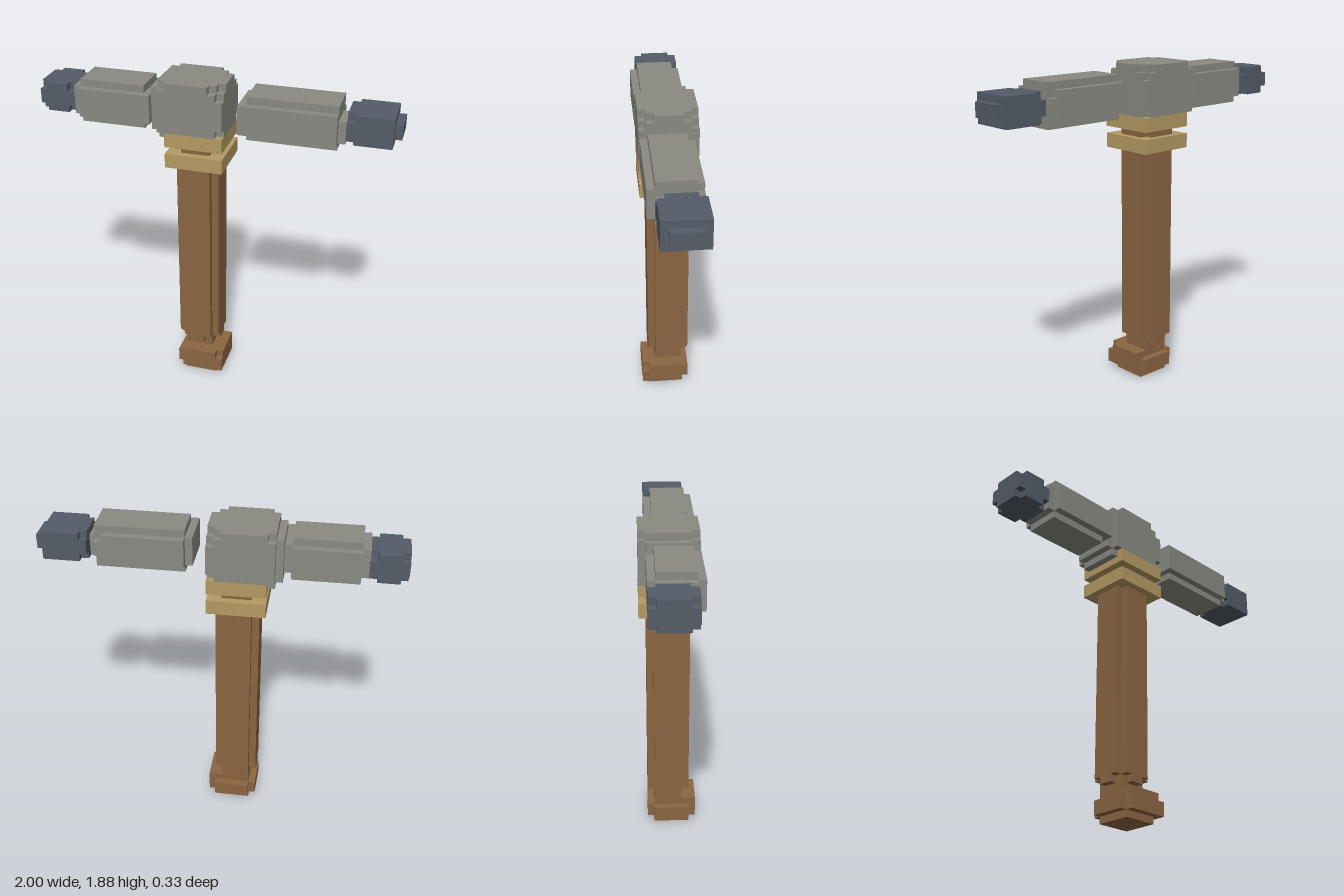
import * as THREE from 'three';
import { mergeVertices } from 'three/addons/utils/BufferGeometryUtils.js';

const U = 2 / 49; // cube size; grid is 49 x 46 x 8

// Surface of the cubes filled by boxes [x0,x1,y0,y1,z0,z1], minus cut boxes
function blockGeometry(add, cut = []) {
  const cells = new Map();
  const each = ([x0, x1, y0, y1, z0, z1], fn) => {
    for (let x = x0; x < x1; x++)
      for (let y = y0; y < y1; y++)
        for (let z = z0; z < z1; z++) fn([x, y, z]);
  };
  add.forEach(b => each(b, c => cells.set(c.join(), c)));
  cut.forEach(b => each(b, c => cells.delete(c.join())));
  const pos = [], nor = [], index = [];
  for (const c of cells.values()) {
    for (let a = 0; a < 3; a++) {
      for (const s of [-1, 1]) {
        const next = [...c];
        next[a] += s;
        if (cells.has(next.join())) continue;
        const b = (a + 1) % 3, d = (a + 2) % 3, n = pos.length / 3;
        for (const [p, q] of [[0, 0], [1, 0], [1, 1], [0, 1]]) {
          const v = [...c];
          v[a] += s > 0 ? 1 : 0;
          v[b] += p;
          v[d] += q;
          pos.push(v[0] * U - 1, v[1] * U, (v[2] - 4) * U);
          const normal = [0, 0, 0];
          normal[a] = s;
          nor.push(...normal);
        }
        index.push(...(s > 0 ? [n, n + 1, n + 2, n, n + 2, n + 3] : [n, n + 2, n + 1, n, n + 3, n + 2]));
      }
    }
  }
  const g = new THREE.BufferGeometry();
  g.setAttribute('position', new THREE.Float32BufferAttribute(pos, 3));
  g.setAttribute('normal', new THREE.Float32BufferAttribute(nor, 3));
  g.setIndex(index);
  return mergeVertices(g);
}

// Single-cube cuts at every combination of the given coordinates
function cubes(xs, ys, zs) {
  return xs.flatMap(x => ys.flatMap(y => zs.map(z => [x, x + 1, y, y + 1, z, z + 1])));
}

export function createModel() {
  const material = (name, color) => {
    const m = new THREE.MeshStandardMaterial({ color });
    m.name = name;
    return m;
  };
  const stone = material('grey stone', 0x8a8a83);
  const steel = material('dark steel', 0x545c68);
  const wood = material('brown wood', 0x8b6541);
  const gold = material('dull gold', 0xb49a63);

  const group = new THREE.Group();
  group.name = 'hammer';
  const part = (name, mat, add, cut) => {
    const mesh = new THREE.Mesh(blockGeometry(add, cut), mat);
    mesh.name = name;
    group.add(mesh);
  };

  // Pommel and its neck
  part('pommel', wood, [
    [20, 25, 0, 1, 2, 7],
    [20, 26, 1, 4, 2, 8],
    [19, 20, 1, 3, 2, 7],
    [20, 25, 1, 3, 1, 2],
  ], cubes([25], [3], [7]));

  // Long shaft with a cross-shaped section, notched at its foot
  part('shaft', wood, [
    [20, 24, 4, 5, 2, 6],
    [19, 25, 5, 37, 2, 6],
    [20, 24, 5, 37, 1, 7],
  ], [...cubes([19, 24], [5], [2, 5]), ...cubes([20, 23], [5], [1, 6])]);

  // Two square collars
  part('lowerCollar', gold, [[18, 26, 34, 36, 0, 8]]);
  part('upperCollar', gold, [[18, 26, 37, 39, 0, 8]]);

  // Centre block with chipped corners
  part('headBlock', stone, [
    [17, 26, 39, 46, 0, 8],
    [17, 18, 38, 39, 1, 7],
    [16, 17, 39, 45, 1, 7],
  ], [
    ...cubes([17], [45], [0, 7]),
    ...cubes([25], [45], [0, 1, 6, 7]),
    ...cubes([24], [45], [0, 7]),
    ...cubes([25], [39, 44], [0, 7]),
  ]);

  // Right arm and end cap
  part('rightArm', stone, [
    [5, 6, 40, 44, 2, 7],
    [6, 15, 40, 44, 1, 8],
    [6, 15, 39, 45, 2, 7],
    [15, 16, 40, 44, 2, 8],
  ]);
  part('rightCap', steel, [[0, 5, 40, 44, 1, 7]], cubes([0, 4], [40, 43], [1, 6]));

  // Left arm, set apart from the centre block, and its end cap
  part('leftArm', stone, [
    [28, 29, 40, 44, 2, 8],
    [29, 41, 40, 44, 1, 8],
    [29, 41, 39, 45, 2, 7],
    [41, 42, 40, 43, 3, 7],
  ], cubes([40], [40, 43], [1]));
  part('leftCap', steel, [
    [42, 48, 40, 44, 1, 7],
    [48, 49, 41, 43, 2, 6],
  ], cubes([42], [40, 43], [1, 6]));

  return group;
}
